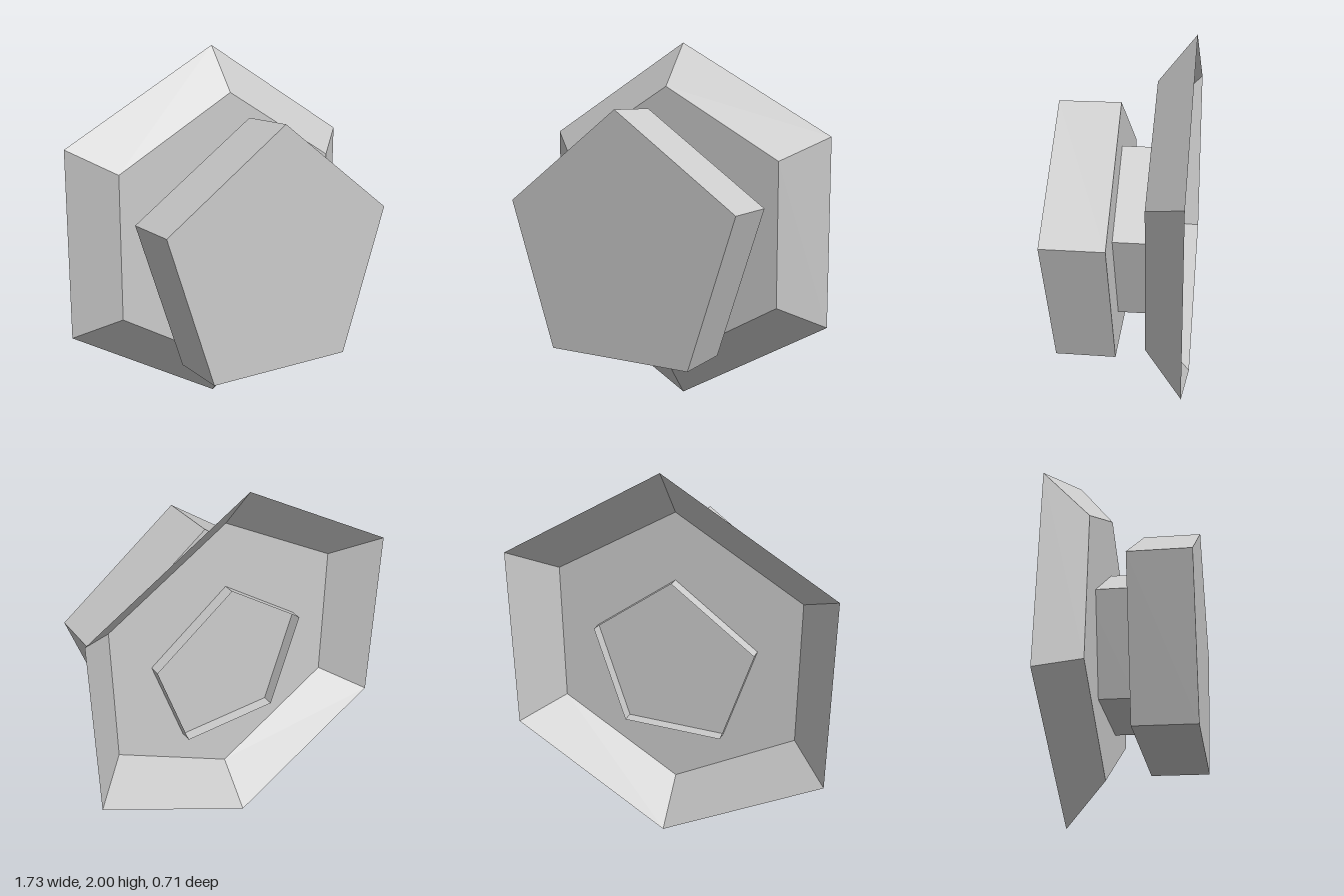
import * as THREE from 'three';

const material = new THREE.MeshStandardMaterial({ color: 0xcccccc, flatShading: true, side: THREE.DoubleSide });

// Regular prism or frustum along z, one corner pointing up
function prism(name, sides, backRadius, frontRadius, zBack, zFront, y, open) {
  const geometry = new THREE.CylinderGeometry(frontRadius, backRadius, zFront - zBack, sides, 1, open);
  geometry.rotateY(Math.PI).rotateX(Math.PI / 2).translate(0, y, (zBack + zFront) / 2);
  const mesh = new THREE.Mesh(geometry, material);
  mesh.name = name;
  return mesh;
}

export function createModel() {
  const model = new THREE.Group();
  model.name = 'knob';

  // Hexagonal dish, hollow and open at the back
  const dish = new THREE.Group();
  dish.name = 'dish';
  const floor = new THREE.Mesh(new THREE.CircleGeometry(0.76, 6, Math.PI / 2), material);
  floor.name = 'dishFloor';
  floor.position.z = -0.152;
  dish.add(prism('dishWall', 6, 0.998, 0.76, -0.341, -0.152, 0, true), floor);

  // Pentagonal tube that pokes through the dish floor, and the solid head
  const neck = prism('neck', 5, 0.463, 0.463, -0.21, 0.031, -0.055, true);
  const head = prism('head', 5, 0.7, 0.7, 0.03, 0.347, -0.055, false);

  // Whole body leans very slightly forward
  const body = new THREE.Group();
  body.name = 'body';
  body.add(dish, neck, head);
  body.position.y = 0.998;
  body.rotation.x = 0.011;
  model.add(body);
  return model;
}
